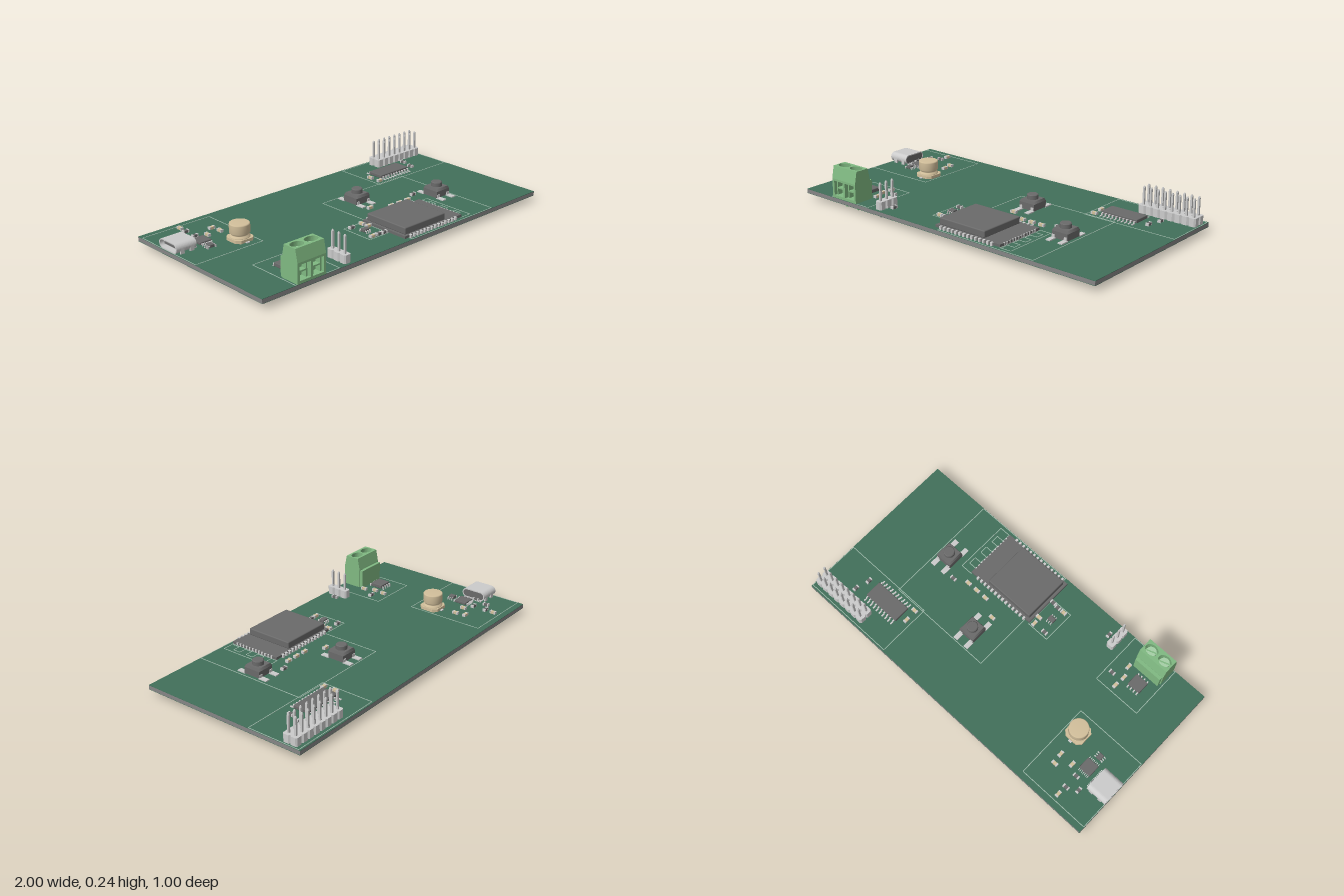
import * as THREE from 'three';
import { RoundedBoxGeometry } from 'three/addons/geometries/RoundedBoxGeometry.js';

const mat = (color) => new THREE.MeshStandardMaterial({ color });
const GREY = mat(0xcccccc), DARK = mat(0x6a6a6a), EDGE = mat(0x858585), GREEN = mat(0x41705a);
const TERM = mat(0x80b982), SCREW = mat(0xa5cfa6), TAN = mat(0xd2bf9b), SILK = mat(0x9fb8aa);
const TOP = 0.06;

function add(parent, name, geo, material, x = 0, y = 0, z = 0) {
  const m = new THREE.Mesh(geo, material);
  m.name = name;
  m.position.set(x, y, z);
  parent.add(m);
  return m;
}
// Box given by its centre in x and z and by its bottom and top height
const box = (p, name, material, x, z, w, d, y0, y1) =>
  add(p, name, new THREE.BoxGeometry(w, y1 - y0, d), material, x, (y0 + y1) / 2, z);
const cyl = (p, name, material, x, z, r, y0, y1, r2 = r) =>
  add(p, name, new THREE.CylinderGeometry(r2, r, y1 - y0, 28), material, x, (y0 + y1) / 2, z);

function group(parent, name, x = 0, z = 0) {
  const g = new THREE.Group();
  g.name = name;
  g.position.set(x, 0, z);
  parent.add(g);
  return g;
}

// Upright prism with a chamfered square outline
function chamferBlock(w, h, c) {
  const a = w / 2, b = a - c;
  const s = new THREE.Shape([[a, b], [b, a], [-b, a], [-a, b], [-a, -b], [-b, -a], [b, -a], [a, -b]]
    .map(([x, y]) => new THREE.Vector2(x, y)));
  return new THREE.ExtrudeGeometry(s, { depth: h, bevelEnabled: false }).rotateX(-Math.PI / 2);
}

function board(p) {
  const g = group(p, 'circuitBoard');
  box(g, 'boardCore', EDGE, 0, 0, 2, 1, 0.036, 0.058);
  box(g, 'boardTopMask', GREEN, 0, 0, 2, 1, 0.058, TOP);
  box(g, 'boardBottomMask', GREEN, 0, 0, 2, 1, 0.034, 0.036);
}

// Thin printed rectangles that frame the functional areas
function frames(p) {
  const g = group(p, 'printedFrames'), t = 0.004;
  const line = (x, z, w, d) => box(g, 'printedLine', SILK, x, z, w, d, TOP, 0.0612);
  const areas = [[-0.997, -0.57, -0.465, -0.012], [-0.795, -0.51, 0.18, 0.497], [0.002, 0.63, -0.185, 0.497],
    [0.44, 0.997, -0.49, -0.177], [-0.163, -0.03, 0.16, 0.355], [0.405, 0.475, 0.16, 0.475]];
  for (const [x0, x1, z0, z1] of areas) {
    for (const z of [z0, z1]) line((x0 + x1) / 2, z, x1 - x0, t);
    for (const x of [x0, x1]) line(x, (z0 + z1) / 2, t, z1 - z0);
  }
  // Zigzag antenna trace beside the radio module
  for (let i = 0; i < 6; i++) {
    line(0.433, 0.2 + i * 0.045, 0.045, t);
    line(i % 2 ? 0.412 : 0.455, 0.2225 + i * 0.045, t, 0.045);
  }
}

function pinHeader(p, name, x, z, nx, nz, pitch) {
  const g = group(p, name, x, z);
  for (let i = 0; i < nx; i++) for (let j = 0; j < nz; j++) {
    const px = (i - (nx - 1) / 2) * pitch, pz = (j - (nz - 1) / 2) * pitch;
    add(g, 'headerHousing', chamferBlock(pitch, 0.046, 0.008), GREY, px, TOP, pz);
    box(g, 'headerPin', GREY, px, pz, 0.011, 0.011, 0.018, 0.2);
    for (const [y0, y1, flip] of [[0.2, 0.209, 1], [0.011, 0.018, 0]]) {
      const tip = new THREE.CylinderGeometry(flip ? 0.004 : 0.0078, flip ? 0.0078 : 0.004, y1 - y0, 4).rotateY(Math.PI / 4);
      add(g, 'headerPinTip', tip, GREY, px, (y0 + y1) / 2, pz);
    }
  }
}

// Chip with bent legs on its two long sides
function legChip(p, name, x, z, w, d, n, pitch, reach, h, alongZ = false) {
  const g = group(p, name, x, z);
  if (alongZ) g.rotation.y = Math.PI / 2;
  add(g, 'chipBody', new RoundedBoxGeometry(w, h, d, 1, 0.004), DARK, 0, 0.064 + h / 2, 0);
  for (let i = 0; i < n; i++) for (const s of [-1, 1]) {
    const lx = (i - (n - 1) / 2) * pitch, lw = pitch * 0.36;
    box(g, 'chipLegShoulder', GREY, lx, s * (d / 2 + 0.004), lw, 0.012, 0.061 + h / 2, 0.066 + h / 2);
    box(g, 'chipLegDrop', GREY, lx, s * (d / 2 + 0.009), lw, 0.005, TOP, 0.066 + h / 2);
    box(g, 'chipLegFoot', GREY, lx, s * (d / 2 + reach / 2 + 0.004), lw, reach - 0.006, TOP, 0.064);
  }
}

function button(p, name, x, z) {
  const g = group(p, name, x, z);
  box(g, 'buttonBase', DARK, 0, 0, 0.1, 0.1, 0.063, 0.1);
  const cover = new THREE.CylinderGeometry(0.062, 0.0707, 0.014, 4).rotateY(Math.PI / 4);
  add(g, 'buttonCover', cover, DARK, 0, 0.107, 0);
  cyl(g, 'buttonPlunger', DARK, 0, 0, 0.031, 0.112, 0.136);
  cyl(g, 'buttonCap', DARK, 0, 0, 0.031, 0.136, 0.14, 0.027);
  for (const sx of [-1, 1]) for (const sz of [-1, 1]) {
    box(g, 'buttonFoot', GREY, sx * 0.038, sz * 0.073, 0.028, 0.05, TOP, 0.066);
    box(g, 'buttonLeg', GREY, sx * 0.038, sz * 0.051, 0.018, 0.006, TOP, 0.082);
  }
}

function radioModule(p) {
  const g = group(p, 'radioModule');
  box(g, 'moduleBoard', DARK, 0.188, 0.32, 0.436, 0.31, 0.063, 0.077);
  add(g, 'moduleShield', new RoundedBoxGeometry(0.305, 0.04, 0.28, 2, 0.006), DARK, 0.138, 0.095, 0.32);
  for (let i = 0; i < 14; i++) for (const s of [-1, 1])
    box(g, 'modulePad', GREY, 0.01 + i * 0.0265, 0.32 + s * 0.157, 0.013, 0.016, TOP, 0.078);
  for (let i = 0; i < 12; i++) box(g, 'moduleEndPad', GREY, 0.404, 0.2 + i * 0.022, 0.006, 0.01, 0.061, 0.078);
}

function usbSocket(p) {
  const g = group(p, 'usbSocket', -0.938, -0.236);
  const slot = (C, a, b) => {
    const s = new C(), r = b, k = a - r;
    s.moveTo(-k, -b);
    s.lineTo(k, -b);
    s.absarc(k, 0, r, -Math.PI / 2, Math.PI / 2, false);
    s.lineTo(-k, b);
    s.absarc(-k, 0, r, Math.PI / 2, Math.PI * 1.5, false);
    return s;
  };
  const shell = slot(THREE.Shape, 0.074, 0.027);
  shell.holes.push(slot(THREE.Path, 0.068, 0.021));
  const geo = new THREE.ExtrudeGeometry(shell, { depth: 0.124, bevelEnabled: false, curveSegments: 8 })
    .rotateY(Math.PI / 2).translate(-0.062, 0.09, 0);
  add(g, 'usbShell', geo, GREY);
  const back = new THREE.ExtrudeGeometry(slot(THREE.Shape, 0.07, 0.023), { depth: 0.02, bevelEnabled: false });
  add(g, 'usbBack', back.rotateY(Math.PI / 2), DARK, 0.04, 0.09, 0);
  box(g, 'usbTongue', DARK, 0, 0, 0.095, 0.095, 0.086, 0.094);
  for (const x of [-0.025, 0.035]) for (const s of [-1, 1])
    box(g, 'usbShellTab', GREY, x, s * 0.07, 0.024, 0.008, 0.034, 0.09);
  for (let i = 0; i < 12; i++) box(g, 'usbContact', GREY, 0.066, (i - 5.5) * 0.01, 0.016, 0.005, TOP, 0.066);
}

function terminalBlock(p) {
  const g = group(p, 'screwTerminal', -0.692, 0.4445);
  // Tapered upper body with two screw wells
  const s = new THREE.Shape([[-0.091, -0.0555], [0.091, -0.0555], [0.091, 0.0555], [-0.091, 0.0555]]
    .map(([x, y]) => new THREE.Vector2(x, y)));
  for (const x of [-0.045, 0.045]) s.holes.push(new THREE.Path().absarc(x, 0, 0.039, 0, Math.PI * 2, true));
  const upper = new THREE.ExtrudeGeometry(s, { depth: 0.07, bevelEnabled: false, curveSegments: 20 }).rotateX(-Math.PI / 2);
  const pos = upper.attributes.position;
  for (let i = 0; i < pos.count; i++) if (pos.getY(i) > 0.01) pos.setZ(i, pos.getZ(i) * 0.74);
  upper.computeVertexNormals();
  add(g, 'terminalUpper', upper, TERM, 0, 0.17, 0);
  box(g, 'terminalBack', TERM, 0, -0.025, 0.182, 0.061, TOP, 0.17);
  box(g, 'terminalLedge', TERM, 0, -0.064, 0.17, 0.02, TOP, 0.167);
  for (const x of [-0.084, 0, 0.084]) box(g, 'terminalDivider', TERM, x, 0.03, 0.014, 0.05, TOP, 0.17);
  for (const x of [-0.045, 0.045]) {
    box(g, 'terminalSill', TERM, x, 0.03, 0.08, 0.05, TOP, 0.075);
    box(g, 'terminalLintel', TERM, x, 0.03, 0.08, 0.05, 0.158, 0.17);
    for (const sx of [-1, 1]) box(g, 'terminalClampSide', TERM, x + sx * 0.026, 0.022, 0.008, 0.032, 0.075, 0.15);
    box(g, 'terminalClampPlate', TERM, x, 0.022, 0.06, 0.032, 0.11, 0.118);
    cyl(g, 'terminalScrew', SCREW, x, 0, 0.028, 0.17, 0.215);
    box(g, 'terminalScrewSlot', TERM, x, 0, 0.052, 0.007, 0.214, 0.217).rotation.y = 0.35;
    box(g, 'terminalPin', TERM, x, -0.007, 0.013, 0.016, 0, TOP);
  }
}

function capacitor(p) {
  const g = group(p, 'canCapacitor', -0.64, -0.112);
  add(g, 'capacitorBase', chamferBlock(0.118, 0.017, 0.022), TAN, 0, 0.061, 0);
  const profile = [[0.054, 0.076], [0.055, 0.084], [0.046, 0.09], [0.046, 0.096], [0.055, 0.103],
    [0.055, 0.148], [0.054, 0.152], [0.05, 0.155], [0, 0.155]].map(([r, y]) => new THREE.Vector2(r, y));
  add(g, 'capacitorCan', new THREE.LatheGeometry(profile, 36), TAN);
  for (const s of [-1, 1]) box(g, 'capacitorFoot', GREY, 0, s * 0.06, 0.02, 0.02, TOP, 0.065);
}

// Two-ended surface parts: x, z, lying along z (1) or x (0)
function chipParts(p, name, material, list) {
  for (const [x, z, v] of list) {
    const g = group(p, name, x, z);
    if (v) g.rotation.y = Math.PI / 2;
    box(g, name + 'Body', material, 0, 0, 0.022, 0.018, TOP, 0.074);
    for (const s of [-1, 1]) box(g, name + 'End', GREY, s * 0.014, 0, 0.008, 0.019, TOP, 0.075);
  }
}

export function createModel() {
  const root = new THREE.Group();
  root.name = 'controllerBoard';
  board(root);
  frames(root);
  usbSocket(root);
  capacitor(root);
  terminalBlock(root);
  radioModule(root);
  pinHeader(root, 'doubleRowHeader', 0.812, -0.426, 8, 2, 0.044);
  pinHeader(root, 'threePinHeader', -0.443, 0.42, 1, 3, 0.044);
  button(root, 'resetButton', 0.163, -0.08);
  button(root, 'bootButton', 0.562, 0.15);
  legChip(root, 'bufferChip', 0.62, -0.282, 0.225, 0.1, 10, 0.0225, 0.028, 0.02);
  legChip(root, 'amplifierChip', -0.694, 0.304, 0.08, 0.075, 4, 0.021, 0.012, 0.022);
  legChip(root, 'powerChip', -0.807, -0.214, 0.074, 0.074, 7, 0.01, 0.008, 0.016);
  legChip(root, 'regulatorChip', -0.813, -0.133, 0.035, 0.03, 3, 0.013, 0.012, 0.018, true);
  legChip(root, 'transistorChip', -0.107, 0.262, 0.04, 0.03, 3, 0.014, 0.012, 0.018);
  chipParts(root, 'capacitorChip', TAN, [[-0.786, -0.428, 1], [-0.663, -0.32, 0], [-0.733, -0.262, 1],
    [-0.652, -0.262, 1], [-0.61, 0.22, 1], [-0.615, 0.283, 1], [-0.593, 0.347, 1], [-0.053, 0.182, 1],
    [-0.048, 0.225, 0], [-0.128, 0.337, 0], [0.139, 0.048, 0], [0.246, 0.107, 0], [0.31, 0.107, 0],
    [0.374, 0.107, 0], [0.47, -0.283, 1], [0.476, -0.214, 0]]);
  chipParts(root, 'resistorChip', DARK, [[-0.791, -0.374, 0], [-0.85, -0.342, 1], [-0.791, -0.294, 0],
    [-0.877, -0.257, 1], [-0.55, 0.262, 0], [-0.395, 0.412, 1], [-0.128, 0.182, 0], [0.455, 0.07, 0],
    [0.807, -0.342, 1], [0.786, -0.262, 1], [-0.085, 0.337, 0], [-0.048, 0.342, 0]]);
  return root;
}
